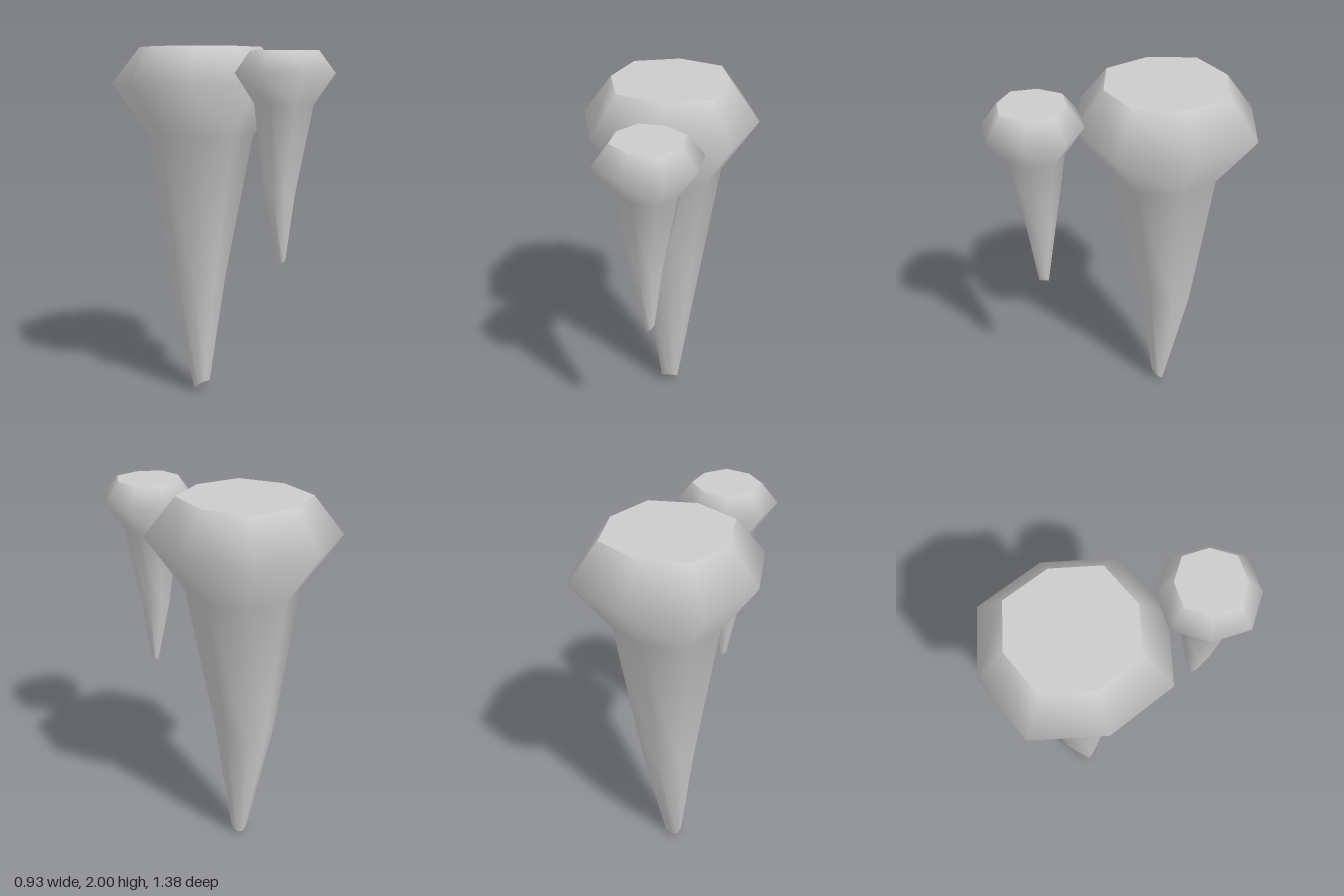
import * as THREE from 'three';

const SIDES = 8;
// Cross-sections from top to tip: height, half width, half depth, z shift, tilt
const RINGS = [
  { y: 2, rx: 0.313, rz: 0.318, z: 0, tilt: 0 },
  { y: 1.8, rx: 0.463, rz: 0.467, z: 0, tilt: 0 },
  { y: 1.52, rx: 0.275, rz: 0.277, z: 0, tilt: 0 },
  { y: 0.7, rx: 0.148, rz: 0.148, z: -0.03, tilt: 0 },
  { y: 0.038, rx: 0.05, rz: 0.033, z: 0, tilt: 0.033 },
];

function ringPoint(ring, k) {
  const a = (k % SIDES) * Math.PI * 2 / SIDES;
  const r = k % 2 ? 1.07 : 1; // diagonal corners sit slightly further out
  return [
    ring.rx * r * Math.cos(a),
    ring.y + ring.tilt * Math.sin(a),
    ring.z + ring.rz * r * Math.sin(a),
  ];
}

function toGeometry(positions, index) {
  const geometry = new THREE.BufferGeometry();
  geometry.setAttribute('position', new THREE.Float32BufferAttribute(positions, 3));
  geometry.setIndex(index);
  geometry.computeVertexNormals();
  return geometry;
}

// Smooth lofted side wall
function wallGeometry() {
  const positions = [], index = [];
  for (const ring of RINGS) {
    for (let k = 0; k < SIDES; k++) positions.push(...ringPoint(ring, k));
  }
  for (let i = 0; i < RINGS.length - 1; i++) {
    for (let k = 0; k < SIDES; k++) {
      const n = (k + 1) % SIDES;
      const a = i * SIDES + k, b = i * SIDES + n;
      const c = a + SIDES, d = b + SIDES;
      index.push(a, b, c, b, d, c);
    }
  }
  return toGeometry(positions, index);
}

// Flat end cap with its own normals
function capGeometry(ring, up) {
  const positions = [], index = [];
  for (let k = 0; k < SIDES; k++) positions.push(...ringPoint(ring, k));
  for (let k = 1; k < SIDES - 1; k++) {
    index.push(0, ...(up ? [k + 1, k] : [k, k + 1]));
  }
  return toGeometry(positions, index);
}

export function createModel() {
  const model = new THREE.Group();
  model.name = 'icicles';
  const material = new THREE.MeshStandardMaterial({ color: 0xcccccc });
  const parts = {
    wall: wallGeometry(),
    topCap: capGeometry(RINGS[0], true),
    tipCap: capGeometry(RINGS[RINGS.length - 1], false),
  };

  function addIcicle(name, scale, y, z, turn) {
    const icicle = new THREE.Group();
    icicle.name = name;
    for (const [part, geometry] of Object.entries(parts)) {
      const mesh = new THREE.Mesh(geometry, material);
      mesh.name = part;
      icicle.add(mesh);
    }
    icicle.scale.setScalar(scale);
    icicle.position.set(0, y, z);
    icicle.rotation.y = turn;
    model.add(icicle);
  }

  addIcicle('largeIcicle', 1, 0, -0.222, 0);
  // Small one is the same shape, scaled and turned
  addIcicle('smallIcicle', 0.54, 0.89, 0.447, THREE.MathUtils.degToRad(69));
  return model;
}
